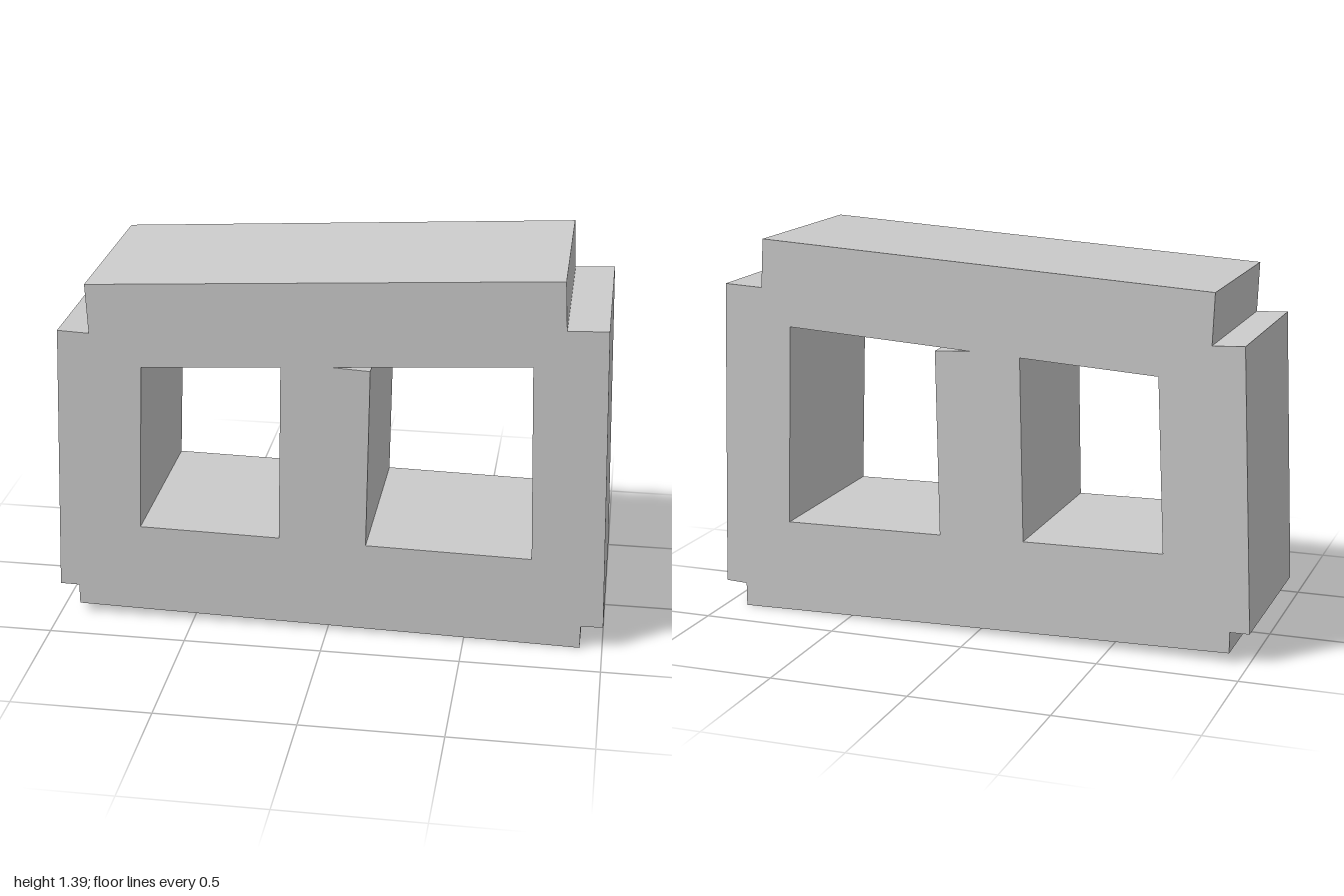
import * as THREE from 'three';

const DEPTH = 0.678;
const toPoints = (pairs) => pairs.map(([x, y]) => new THREE.Vector2(x, y));

export function createModel() {
  const group = new THREE.Group();
  group.name = 'hollowBlock';

  // Skewed outline with notched corners, counter-clockwise from bottom left
  const outline = new THREE.Shape(toPoints([
    [-0.93, 0.035], [0.92, 0], [0.92, 0.086], [1, 0.09],
    [0.965, 1.22], [0.822, 1.213], [0.812, 1.39], [-0.85, 1.293],
    [-0.843, 1.112], [-0.957, 1.117], [-1, 0.112], [-0.93, 0.111],
  ]));

  // Two through openings; the second has a thin slit above the middle web
  const openings = [
    [[-0.687, 0.368], [-0.66, 0.993], [-0.162, 1.023], [-0.176, 0.36]],
    [[0.14, 0.353], [0.153, 1.027], [0.022, 1.034], [0.713, 1.076], [0.735, 0.343]],
  ];
  for (const opening of openings) outline.holes.push(new THREE.Path(toPoints(opening)));

  const geometry = new THREE.ExtrudeGeometry(outline, { depth: DEPTH, bevelEnabled: false });
  geometry.translate(0, 0, -DEPTH / 2);

  const block = new THREE.Mesh(
    geometry,
    new THREE.MeshStandardMaterial({ color: 0xcccccc, flatShading: true }),
  );
  block.name = 'blockBody';
  group.add(block);
  return group;
}
